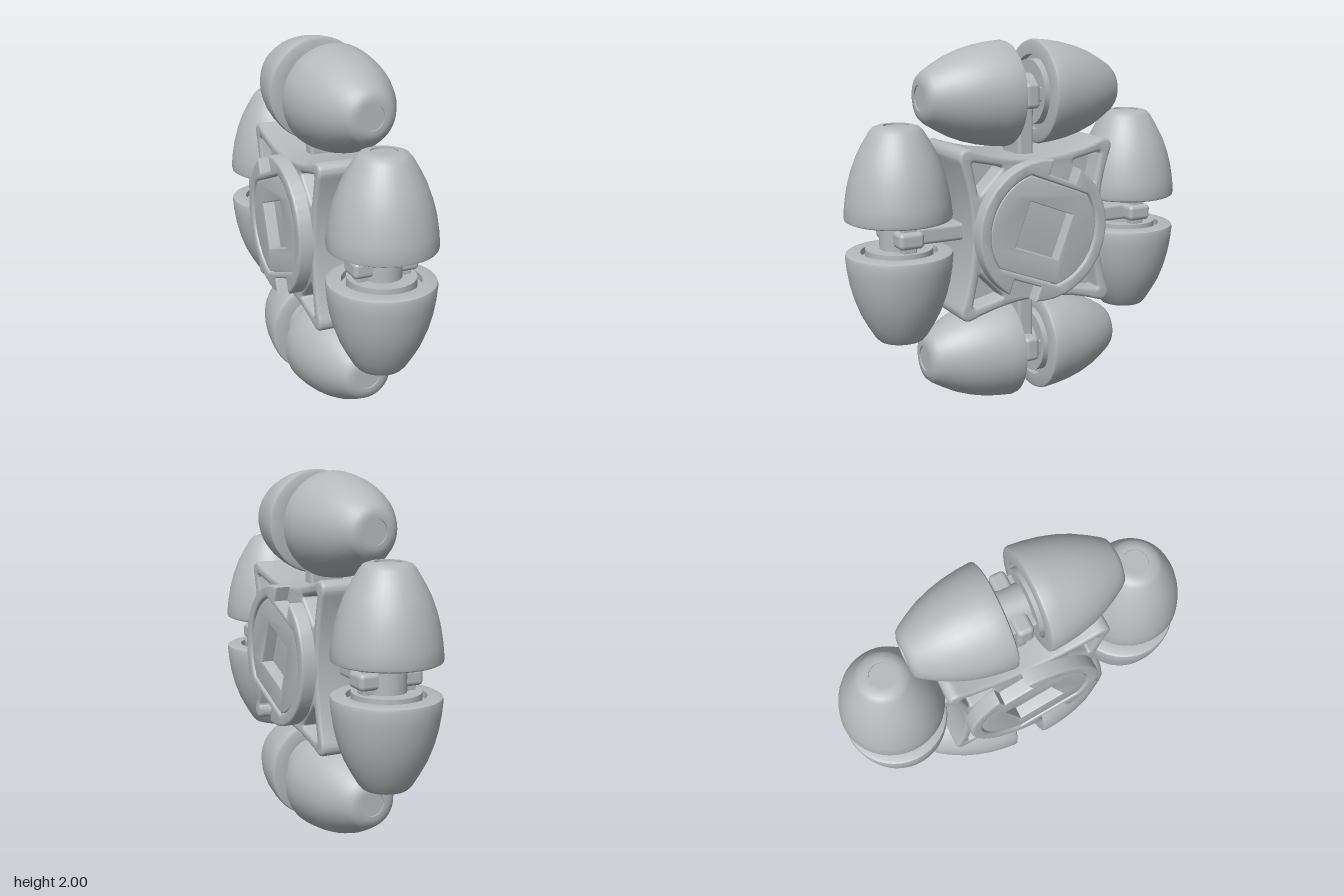
import * as THREE from 'three';
import { toCreasedNormals } from 'three/addons/utils/BufferGeometryUtils.js';
import { RoundedBoxGeometry } from 'three/addons/geometries/RoundedBoxGeometry.js';

const V = (x, y) => new THREE.Vector2(x, y);
const TILT = -0.367; // turn of the socket and the notches about the axle

export function createModel() {
  const model = new THREE.Group();
  model.name = 'omniWheel';
  const wheel = new THREE.Group();
  wheel.name = 'wheel';
  wheel.position.y = 1;
  model.add(wheel);
  const grey = new THREE.MeshStandardMaterial({ color: 0xb6b8bb });
  grey.name = 'plasticGrey';

  const add = (parent, name, geometry, x = 0, y = 0, z = 0) => {
    const mesh = new THREE.Mesh(geometry, grey);
    mesh.name = name;
    mesh.position.set(x, y, z);
    parent.add(mesh);
    return mesh;
  };

  // Extrude a side-on shape symmetrically along the wheel axle (x)
  const slab = (name, shape, half, bevel) => {
    const g = new THREE.ExtrudeGeometry(shape, {
      depth: 2 * (half - bevel), curveSegments: 32, bevelEnabled: bevel > 0,
      bevelThickness: bevel, bevelSize: bevel, bevelOffset: -bevel, bevelSegments: 3,
    });
    g.translate(0, 0, -(half - bevel));
    g.rotateY(Math.PI / 2);
    return add(wheel, name, toCreasedNormals(g, 0.6));
  };
  const turned = (pts) => pts.map((p) => p.clone().rotateAround(V(0, 0), TILT));

  // Disc outline with two straight sides
  const flatDisc = (r, flat) => {
    const a = Math.asin(flat / r), pts = [];
    for (const start of [0, Math.PI])
      for (let i = 0; i <= 24; i++) {
        const t = start - a + (2 * a * i) / 24;
        pts.push(V(r * Math.cos(t), r * Math.sin(t)));
      }
    return turned(pts);
  };
  const socket = () => new THREE.Path(turned([V(-0.14, -0.13), V(-0.14, 0.13), V(0.14, 0.13), V(0.14, -0.13)]));

  // Hub core and the recessed disc around the square socket
  const core = new THREE.Shape().absarc(0, 0, 0.385, 0, Math.PI * 2);
  core.holes.push(socket());
  slab('hubCore', core, 0.235, 0);
  const disc = new THREE.Shape(flatDisc(0.318, 0.258));
  disc.holes.push(socket());
  slab('socketDisc', disc, 0.302, 0.006);

  // Raised rim, notched at two opposite places
  const R = 0.388, W = 0.085, rimPts = [];
  const a0 = Math.asin(W / R);
  for (const s of [1, -1]) {
    const base = s > 0 ? Math.PI / 2 : -Math.PI / 2;
    rimPts.push(V(s * W, s * 0.295), V(-s * W, s * 0.295));
    for (let i = 0; i <= 40; i++) {
      const t = base + a0 + ((Math.PI - 2 * a0) * i) / 40;
      rimPts.push(V(R * Math.cos(t), R * Math.sin(t)));
    }
  }
  const rim = new THREE.Shape(turned(rimPts));
  rim.holes.push(new THREE.Path(flatDisc(0.322, 0.262)));
  slab('hubRim', rim, 0.312, 0.012);

  // Sloping floors in the notches
  for (const s of [1, -1]) {
    const wedge = new THREE.Shape([V(-0.235, 0.29), V(0.235, 0.29), V(0.295, 0.29), V(0.25, 0.375), V(-0.25, 0.375), V(-0.295, 0.29)]);
    const g = new THREE.ExtrudeGeometry(wedge, { depth: 2 * W, bevelEnabled: false });
    g.translate(0, 0, -W);
    const mesh = add(wheel, 'notchRamp', g);
    mesh.rotation.x = -TILT * -1 * -1 + (s < 0 ? Math.PI : 0);
    const plate = add(mesh, 'notchPlate', new THREE.BoxGeometry(0.56, 0.07, 0.13), 0, 0.33, 0);
    plate.scale.x = 0.99;
  }

  // Four-horned frame with concave sides and triangular pockets
  const frame = new THREE.Shape();
  const corner = (x, y, k) => V(x, y).rotateAround(V(0, 0), (k * Math.PI) / 2);
  frame.moveTo(0.465, 0.41);
  for (let k = 0; k < 4; k++) {
    const c = corner(0.465, 0.465, k), e = corner(0.41, 0.465, k);
    const m = corner(0, 0.315, k), n = corner(-0.41, 0.465, k);
    frame.quadraticCurveTo(c.x, c.y, e.x, e.y);
    frame.quadraticCurveTo(m.x, m.y, n.x, n.y);
    const tri = [[0.395, 0.395], [0.355, 0.21], [0.21, 0.355]].map(([x, y]) => corner(x, y, k));
    const hole = new THREE.Path();
    tri.forEach((p, i) => {
      const prev = tri[(i + 2) % 3], next = tri[(i + 1) % 3];
      const from = p.clone().lerp(prev, 0.12), to = p.clone().lerp(next, 0.12);
      if (i === 0) hole.moveTo(from.x, from.y); else hole.lineTo(from.x, from.y);
      hole.quadraticCurveTo(p.x, p.y, to.x, to.y);
    });
    hole.closePath();
    frame.holes.push(hole);
  }
  slab('hubFrame', frame, 0.235, 0.018);

  // Web that closes the pockets at mid depth
  const web = new THREE.Shape(frame.getPoints(16).map((p) => p.multiplyScalar(0.95)));
  slab('pocketFloor', web, 0.12, 0);

  // Tapered roller, turned about its own pin
  const rollerProfile = [
    [0, 0.12], [0.205, 0.12], [0.205, 0.085], [0.268, 0.085], [0.282, 0.092], [0.286, 0.108],
    [0.279, 0.18], [0.266, 0.26], [0.245, 0.34], [0.215, 0.42], [0.178, 0.49], [0.142, 0.55],
    [0.122, 0.572], [0.09, 0.583], [0.068, 0.583], [0.068, 0.575], [0, 0.575],
  ].map(([r, y]) => V(r, y));
  const rollerGeo = toCreasedNormals(new THREE.LatheGeometry(rollerProfile, 40), 0.6);
  const collarGeo = toCreasedNormals(new THREE.CylinderGeometry(0.18, 0.18, 0.06, 24), 0.6);
  const axleGeo = toCreasedNormals(new THREE.CylinderGeometry(0.105, 0.105, 0.2, 24), 0.6);
  const spokeGeo = new RoundedBoxGeometry(0.2, 0.094, 0.42, 3, 0.02);
  const bracketGeo = new RoundedBoxGeometry(0.36, 0.09, 0.14, 3, 0.025);
  const lugGeo = new RoundedBoxGeometry(0.3, 0.05, 0.08, 2, 0.01);

  // Four stations, each with a spoke and a pair of rollers
  for (let k = 0; k < 4; k++) {
    const station = new THREE.Group();
    station.name = 'rollerStation';
    station.rotation.x = (k * Math.PI) / 2;
    wheel.add(station);
    add(station, 'spoke', spokeGeo, 0, 0, 0.53);
    add(station, 'bracket', bracketGeo, 0, 0, 0.71);
    add(station, 'axle', axleGeo, 0, 0, 0.714);
    for (const s of [0, 1]) {
      const half = new THREE.Group();
      half.name = 'rollerUnit';
      half.position.z = 0.714;
      half.rotation.x = s * Math.PI;
      station.add(half);
      add(half, 'roller', rollerGeo);
      add(half, 'collar', collarGeo, 0, 0.098, 0);
      add(half, 'lug', lugGeo, 0, 0.05, 0);
    }
  }
  return model;
}
